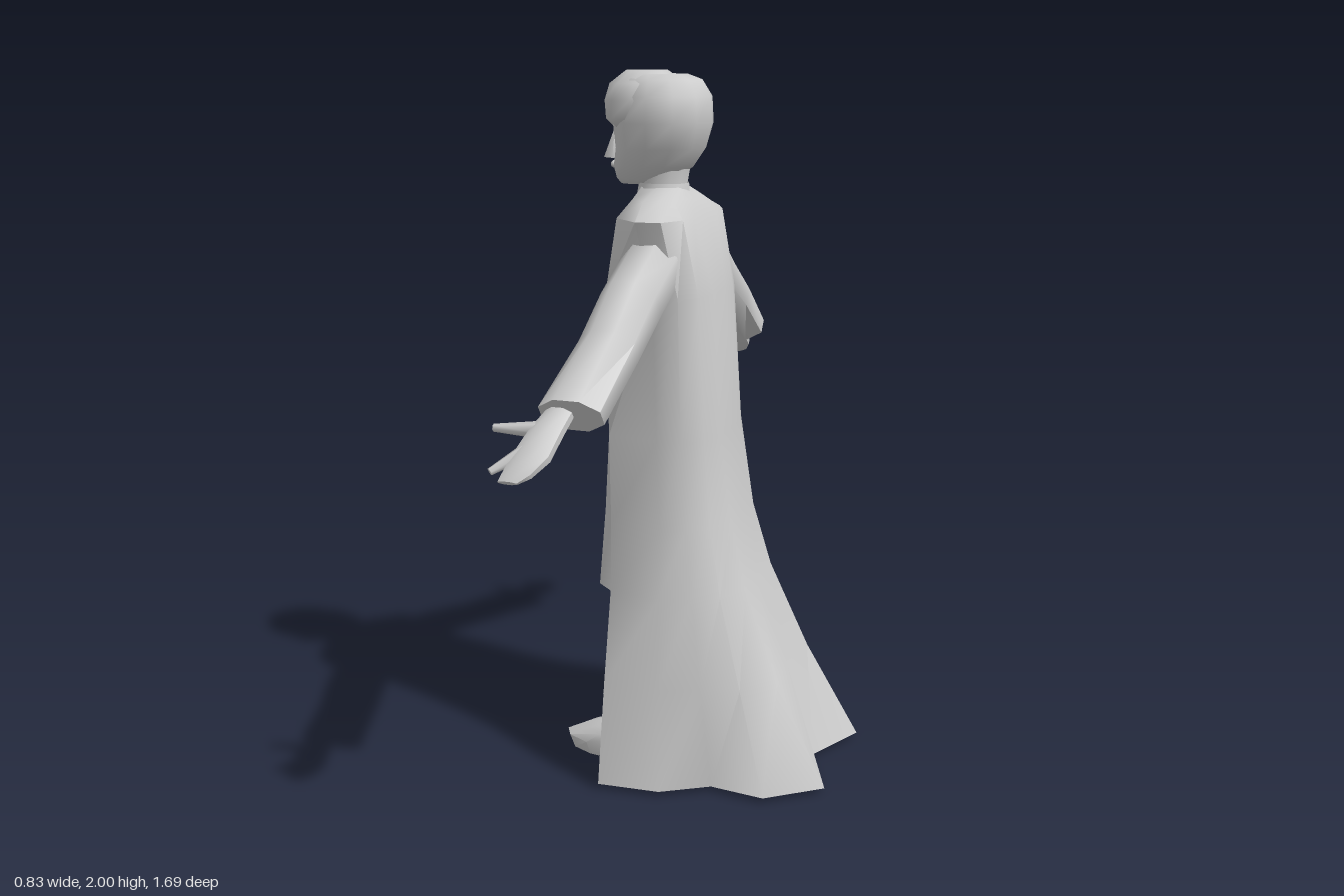
import * as THREE from 'three';
import { toCreasedNormals } from 'three/addons/utils/BufferGeometryUtils.js';

const material = new THREE.MeshStandardMaterial({ color: 0xcccccc, side: THREE.DoubleSide });

// Skin a list of rings (arrays of Vector3) into one surface
function loft(rings, { closed = true, caps = true, crease = 0.9, skip = () => false } = {}) {
  const n = rings[0].length, points = rings.flat(), index = [];
  const steps = closed ? n : n - 1;
  for (let j = 0; j < rings.length - 1; j++) {
    for (let i = 0; i < steps; i++) {
      if (skip(j, i)) continue;
      const a = j * n + i, b = j * n + (i + 1) % n;
      index.push(a, a + n, b, b, a + n, b + n);
    }
  }
  if (closed && caps) {
    const top = (rings.length - 1) * n;
    for (let i = 1; i < n - 1; i++) index.push(0, i, i + 1, top, top + i + 1, top + i);
  }
  const g = new THREE.BufferGeometry().setFromPoints(points);
  g.setIndex(index);
  return toCreasedNormals(g, crease);
}

// Horizontal oval ring from front x to back x, half width w, centred on z0
function oval(y, xf, xb, w, z0 = 0, n = 12) {
  return Array.from({ length: n }, (_, i) => {
    const t = (i / n) * Math.PI * 2;
    return new THREE.Vector3((xf + xb) / 2 + Math.cos(t) * (xb - xf) / 2, y, z0 + Math.sin(t) * w);
  });
}

// Ring across an arm that slopes down and outward; side = 1 or -1
function armRing(side, n, [z, y, ry, rx, x]) {
  const ring = Array.from({ length: n }, (_, i) => {
    const t = ((i + 0.5) / n) * Math.PI * 2, up = Math.cos(t) * ry;
    return new THREE.Vector3(x + Math.sin(t) * rx, y + up * 0.835, side * (z + up * 0.55));
  });
  return side < 0 ? ring.reverse() : ring;
}

// Tapered finger between two points
function finger(a, b, r0, r1) {
  const from = new THREE.Vector3(...a), dir = new THREE.Vector3(...b).sub(from);
  const g = new THREE.CylinderGeometry(r1, r0, dir.length(), 6);
  g.applyQuaternion(new THREE.Quaternion().setFromUnitVectors(new THREE.Vector3(0, 1, 0), dir.clone().normalize()));
  return g.translate(...from.addScaledVector(dir, 0.5).toArray());
}

export function createModel() {
  const group = new THREE.Group();
  const add = (name, geometry, parent = group) => {
    const mesh = new THREE.Mesh(geometry, material);
    mesh.name = name;
    parent.add(mesh);
    return mesh;
  };

  // Long coat: each row is y, then (x, z) from the front edge round to the back centre
  const coatRows = [
    [0.015, -0.21, 0.38, -0.21, 0.38, -0.03, 0.365, 0.10, 0.285, 0.26, 0.30, 0.408, 0.185, 0.32, 0],
    [0.3, -0.21, 0.325, -0.21, 0.325, -0.05, 0.32, 0.06, 0.265, 0.17, 0.24, 0.255, 0.15, 0.235, 0],
    [0.56, -0.30, 0.14, -0.215, 0.255, -0.06, 0.28, 0.03, 0.25, 0.10, 0.21, 0.145, 0.12, 0.14, 0],
    [0.75, -0.295, 0.10, -0.225, 0.22, -0.07, 0.235, 0.0, 0.215, 0.06, 0.18, 0.095, 0.10, 0.095, 0],
    [1.0, -0.29, 0.07, -0.24, 0.19, -0.09, 0.205, -0.02, 0.20, 0.035, 0.16, 0.057, 0.09, 0.06, 0],
    [1.4, -0.31, 0.0, -0.25, 0.175, -0.10, 0.20, -0.03, 0.19, 0.015, 0.15, 0.035, 0.08, 0.04, 0],
    [1.61, -0.245, 0.0, -0.215, 0.17, -0.13, 0.245, -0.06, 0.235, -0.025, 0.16, -0.018, 0.09, -0.015, 0],
    [1.655, -0.22, 0.0, -0.20, 0.09, -0.14, 0.165, -0.10, 0.15, -0.07, 0.11, -0.06, 0.06, -0.055, 0],
    [1.685, -0.21, 0.0, -0.19, 0.05, -0.14, 0.065, -0.11, 0.065, -0.09, 0.05, -0.08, 0.03, -0.075, 0],
  ];
  const coatRings = coatRows.map(([y, ...p]) => {
    const half = [];
    for (let i = 0; i < 7; i++) half.push(new THREE.Vector3(p[2 * i], y, p[2 * i + 1]));
    const mirrored = half.map(v => new THREE.Vector3(v.x, v.y, -v.z));
    return [...mirrored, ...half.slice(0, 6).reverse()];
  });
  // The front panels end above the knee
  for (const i of [0, 12]) coatRings[2][i].y = 0.53;
  add('coat', loft(coatRings, { closed: false, skip: (j, i) => j < 2 && (i === 0 || i === 11) }));

  // Tunic showing in the coat's front opening
  add('tunic', loft([
    oval(0.85, -0.25, 0.03, 0.165), oval(1.1, -0.27, 0.03, 0.165),
    oval(1.4, -0.28, 0.02, 0.16), oval(1.55, -0.25, 0.0, 0.14),
  ]));

  // Neck with its collar
  add('neck', loft([oval(1.62, -0.21, -0.07, 0.07), oval(1.69, -0.205, -0.075, 0.06), oval(1.76, -0.2, -0.06, 0.055)]));
  add('collar', loft([oval(1.66, -0.22, -0.065, 0.075), oval(1.695, -0.215, -0.07, 0.063)], { caps: false }));

  // Head, hair and nose
  const head = new THREE.Group();
  head.name = 'head';
  group.add(head);
  add('skull', loft([
    oval(1.69, -0.27, -0.17, 0.035), oval(1.705, -0.285, -0.11, 0.055), oval(1.74, -0.292, -0.055, 0.085),
    oval(1.79, -0.28, -0.02, 0.115), oval(1.86, -0.285, 0.0, 0.135), oval(1.93, -0.28, -0.003, 0.13),
    oval(1.975, -0.265, -0.03, 0.10), oval(1.99, -0.25, -0.07, 0.065),
  ], { crease: 1.1 }), head);
  add('fringe', loft([
    oval(1.845, -0.275, -0.17, 0.09), oval(1.87, -0.302, -0.12, 0.118), oval(1.92, -0.307, -0.08, 0.125),
    oval(1.965, -0.295, -0.08, 0.105), oval(2.0, -0.25, -0.13, 0.05),
  ], { crease: 1.1 }), head);
  add('nose', new THREE.ConeGeometry(0.032, 0.085, 4).scale(1.1, 1, 0.7).translate(-0.289, 1.802, 0), head);
  add('lips', new THREE.SphereGeometry(0.02, 8, 6).scale(0.6, 0.6, 1.2).translate(-0.288, 1.742, 0), head);

  for (const side of [1, -1]) {
    // Sleeve and hand
    const arm = new THREE.Group();
    arm.name = side > 0 ? 'armNear' : 'armFar';
    group.add(arm);
    add('sleeve', loft([
      [0.17, 1.485, 0.092, 0.085, -0.11], [0.30, 1.40, 0.09, 0.085, -0.12],
      [0.45, 1.305, 0.073, 0.084, -0.12], [0.645, 1.175, 0.058, 0.092, -0.14],
    ].map(r => armRing(side, 8, r))), arm);
    add('hand', loft([
      [0.62, 1.195, 0.024, 0.035, -0.165], [0.70, 1.145, 0.027, 0.046, -0.18],
      [0.77, 1.095, 0.025, 0.052, -0.19], [0.82, 1.063, 0.017, 0.04, -0.205], [0.842, 1.048, 0.006, 0.028, -0.22],
    ].map(r => armRing(side, 8, r))), arm);
    add('indexFinger', finger([-0.215, 1.105, side * 0.755], [-0.277, 1.065, side * 0.822], 0.02, 0.01), arm);
    add('thumb', finger([-0.19, 1.145, side * 0.69], [-0.322, 1.145, side * 0.712], 0.024, 0.01), arm);

    // Trouser leg and shoe
    const leg = new THREE.Group();
    leg.name = side > 0 ? 'legNear' : 'legFar';
    group.add(leg);
    const z = side * 0.13;
    add('trouserLeg', loft([
      oval(0.07, -0.26, -0.09, 0.065, z), oval(0.2, -0.24, -0.08, 0.068, z), oval(0.5, -0.22, -0.05, 0.078, z),
      oval(0.7, -0.23, -0.03, 0.085, side * 0.11), oval(0.95, -0.25, 0.02, 0.085, side * 0.085),
    ]), leg);
    add('shoe', loft([
      oval(0, -0.405, -0.06, 0.072, z), oval(0.04, -0.42, -0.055, 0.08, z),
      oval(0.07, -0.36, -0.06, 0.073, z), oval(0.112, -0.25, -0.08, 0.06, z),
    ]), leg);
  }
  return group;
}
